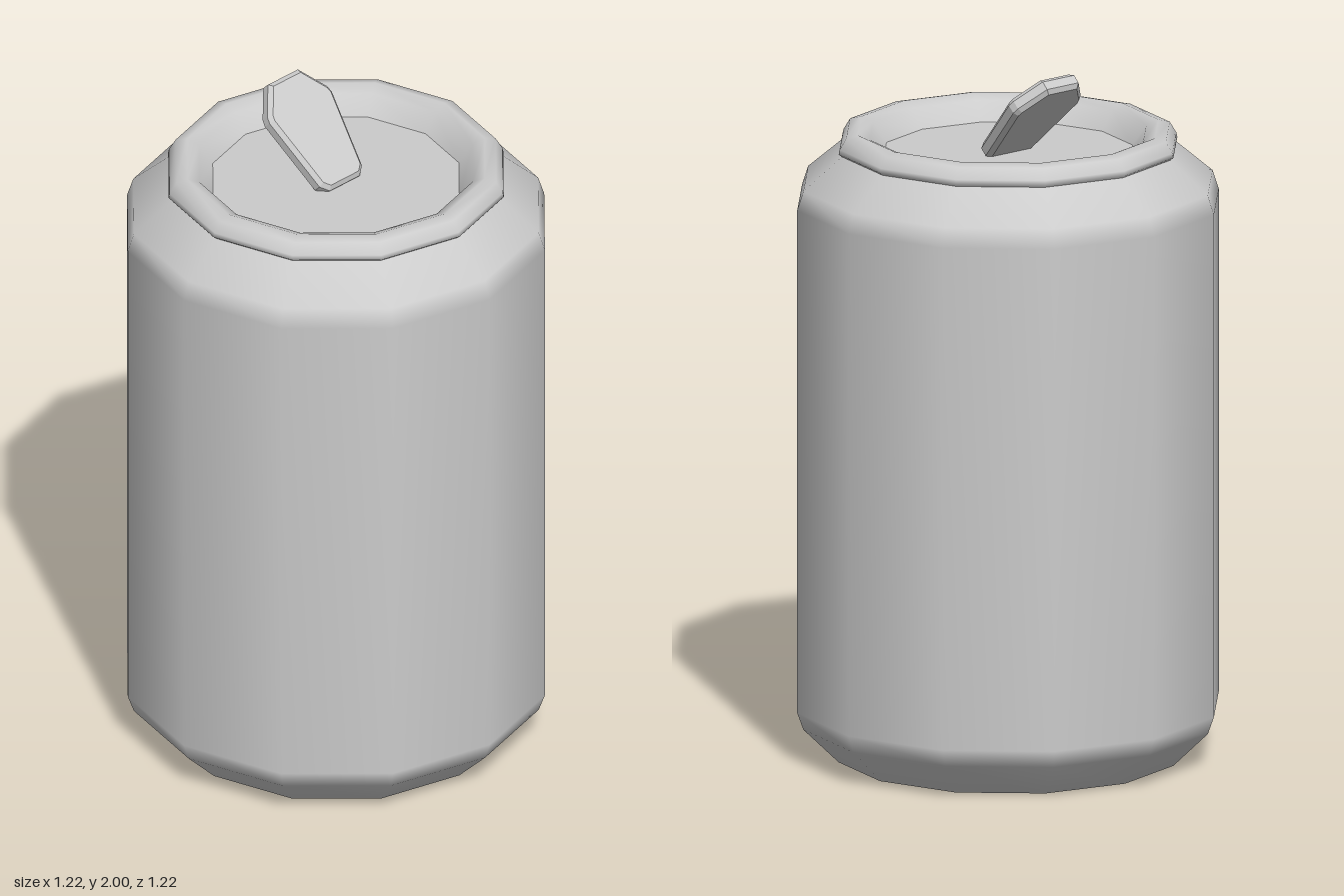
import * as THREE from 'three';

const SIDES = 12;
const material = new THREE.MeshStandardMaterial({ color: 0xcccccc });

function addMesh(group, name, geometry) {
  const mesh = new THREE.Mesh(geometry, material);
  mesh.name = name;
  group.add(mesh);
  return mesh;
}

// Smooth turned surface from [radius, height] pairs
function turned(profile) {
  return new THREE.LatheGeometry(profile.map(([r, y]) => new THREE.Vector2(r, y)), SIDES);
}

// Flat disc facing up (1) or down (-1)
function disc(radius, y, facing) {
  return new THREE.CircleGeometry(radius, SIDES).rotateX(-facing * Math.PI / 2).translate(0, y, 0);
}

export function createModel() {
  const can = new THREE.Group();
  can.name = 'drinkCan';

  // Wall with tapered foot and shoulder
  addMesh(can, 'body', turned([
    [0.49, 0], [0.592, 0.1], [0.61, 0.15], [0.61, 1.61], [0.592, 1.665], [0.48, 1.76],
  ]));
  addMesh(can, 'base', disc(0.49, 0, -1));

  // Rolled rim falling inward to the sunken lid
  addMesh(can, 'rim', turned([
    [0.475, 1.755], [0.49, 1.767], [0.487, 1.78], [0.468, 1.812], [0.435, 1.82], [0.4, 1.805], [0.36, 1.75],
  ]));
  addMesh(can, 'lid', disc(0.36, 1.75, 1));

  // Raised pull tab: bevelled plate, mirrored outline, tilted 45 degrees
  const half = [[-0.17, 0.06], [-0.09, 0.12], [-0.07, 0.125], [0.155, 0.085], [0.178, 0.06]];
  const outline = [...half.map(([u, v]) => [u, -v]), ...half.slice().reverse()];
  const bevel = 0.012;
  const plate = new THREE.ExtrudeGeometry(
    new THREE.Shape(outline.map(([u, v]) => new THREE.Vector2(u, v))),
    { depth: 0.026, bevelEnabled: true, bevelThickness: bevel, bevelSize: bevel, bevelOffset: -bevel, bevelSegments: 1 },
  ).translate(0, 0, -0.013);
  const tab = addMesh(can, 'pullTab', plate);
  const s = Math.SQRT1_2;
  tab.quaternion.setFromRotationMatrix(new THREE.Matrix4().makeBasis(
    new THREE.Vector3(s, -s, 0), new THREE.Vector3(0, 0, -1), new THREE.Vector3(s, s, 0),
  ));
  tab.position.set(-0.1, 1.87, 0);

  return can;
}
